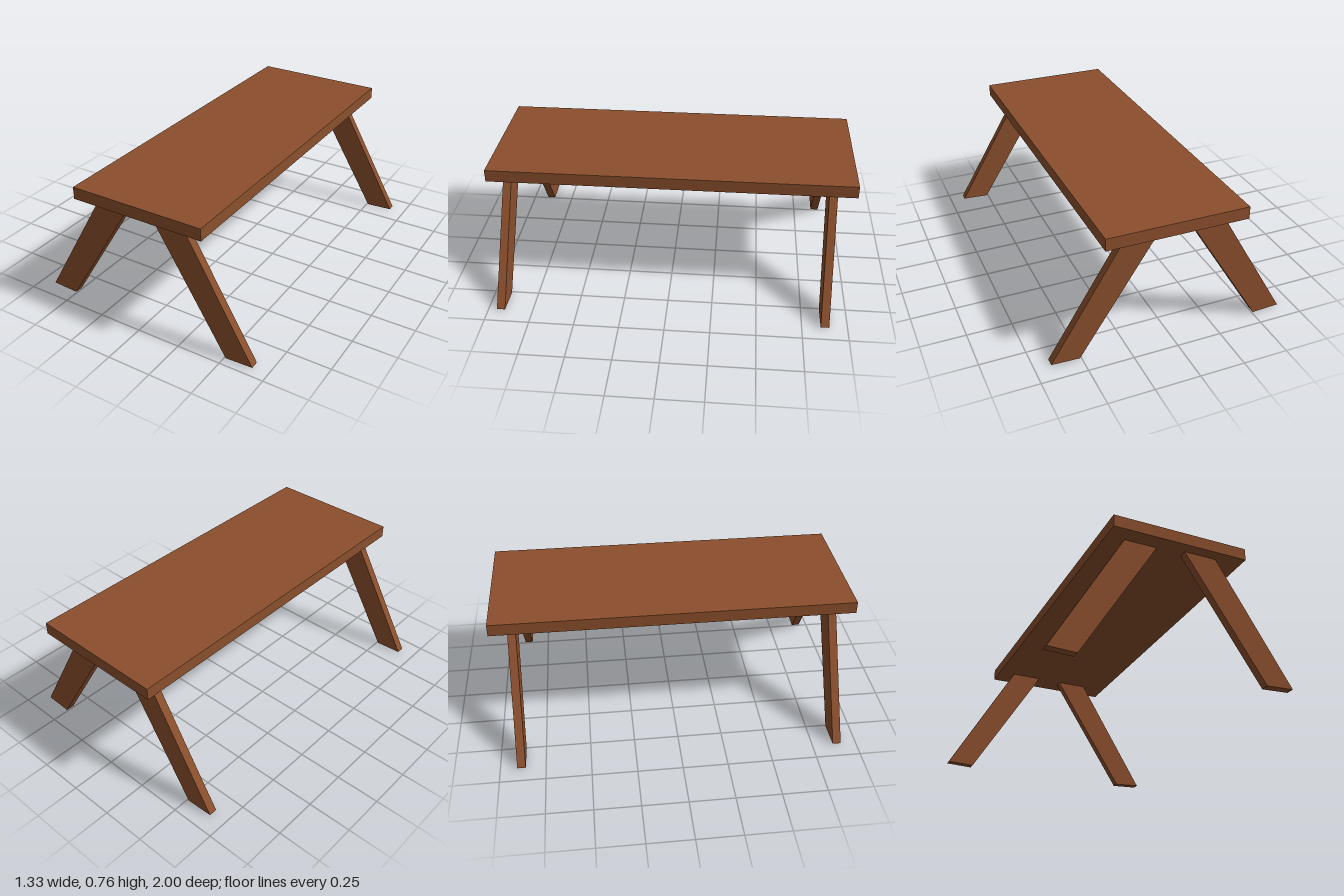
import * as THREE from 'three';

export function createModel() {
  const group = new THREE.Group();
  const wood = new THREE.MeshStandardMaterial({ color: 0x8b4f2d });
  wood.name = 'brown wood';

  // Slab, slightly off-centre over the legs
  const top = new THREE.Mesh(new THREE.BoxGeometry(0.768, 0.068, 2), wood);
  top.name = 'tableTop';
  top.position.set(0.025, 0.726, 0);
  group.add(top);

  // Tapered plank leg: side is -1 or 1, z is its back face at the top,
  // lean is how far the foot drifts along z
  const thick = 0.046, topY = 0.695;
  function addLeg(name, side, z, lean) {
    const outline = [[0.663, 0.007], [0.508, 0], [0.073, topY], [0.258, topY]];
    const shape = new THREE.Shape(outline.map(([x, y]) => new THREE.Vector2(side * x, y)));
    const geo = new THREE.ExtrudeGeometry(shape, { depth: thick, bevelEnabled: false });
    const pos = geo.attributes.position;
    for (let i = 0; i < pos.count; i++) {
      pos.setZ(i, pos.getZ(i) + z + lean * (1 - pos.getY(i) / topY));
    }
    geo.computeVertexNormals();
    const leg = new THREE.Mesh(geo, wood);
    leg.name = name;
    group.add(leg);
  }
  addLeg('frontRightLeg', -1, 0.866, 0);
  addLeg('backRightLeg', -1, -0.907, 0);
  addLeg('frontLeftLeg', 1, 0.893, 0.012);
  addLeg('backLeftLeg', 1, -0.911, 0.012);

  return group;
}
